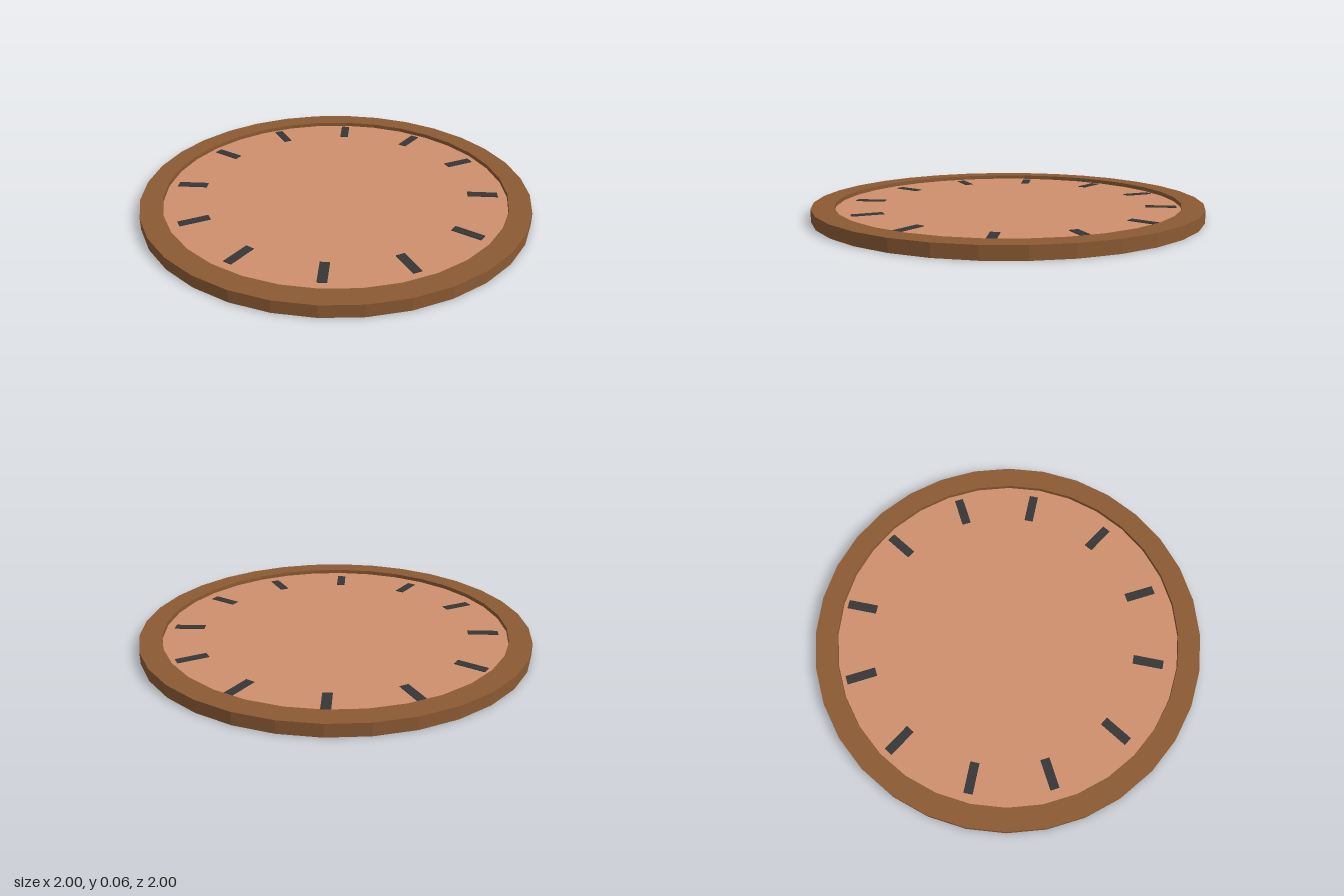
import * as THREE from 'three';

const SIDES = 32;
const RIM_HEIGHT = 0.063, RIM_INNER = 0.887;
const FACE_BOTTOM = 0.01, FACE_TOP = 0.042;

function material(color) {
  return new THREE.MeshStandardMaterial({ color, flatShading: true });
}

function part(name, geometry, mat) {
  const mesh = new THREE.Mesh(geometry, mat);
  mesh.name = name;
  return mesh;
}

export function createModel() {
  const model = new THREE.Group();
  model.name = 'clockDial';

  // Faceted rim: a rectangular section turned around the upright axis
  const section = [
    [1, 0], [1, RIM_HEIGHT], [RIM_INNER, RIM_HEIGHT], [RIM_INNER, 0], [1, 0],
  ].map(([r, y]) => new THREE.Vector2(r, y));
  model.add(part('rim', new THREE.LatheGeometry(section, SIDES), material(0x8b5a33)));

  // Dial plate, recessed inside the rim on both sides
  const plate = new THREE.CylinderGeometry(RIM_INNER, RIM_INNER, FACE_TOP - FACE_BOTTOM, SIDES);
  plate.translate(0, (FACE_TOP + FACE_BOTTOM) / 2, 0);
  model.add(part('dialPlate', plate, material(0xcd8f6c)));

  // Twelve hour markers, their circle set slightly towards the back
  const markers = new THREE.Group();
  markers.name = 'hourMarkers';
  markers.position.set(0, FACE_TOP, -0.024);
  const bar = new THREE.BoxGeometry(0.155, 0.006, 0.046);
  const dark = material(0x363636);
  for (let i = 0; i < 12; i++) {
    // The markers between the quarters lean about a degree clockwise
    const angle = THREE.MathUtils.degToRad(i * 30 - (i % 3 ? 0.9 : 0));
    const marker = part('hourMarker', bar, dark);
    marker.position.set(Math.cos(angle) * 0.763, 0, -Math.sin(angle) * 0.763);
    marker.rotation.y = angle;
    markers.add(marker);
  }
  model.add(markers);

  return model;
}
